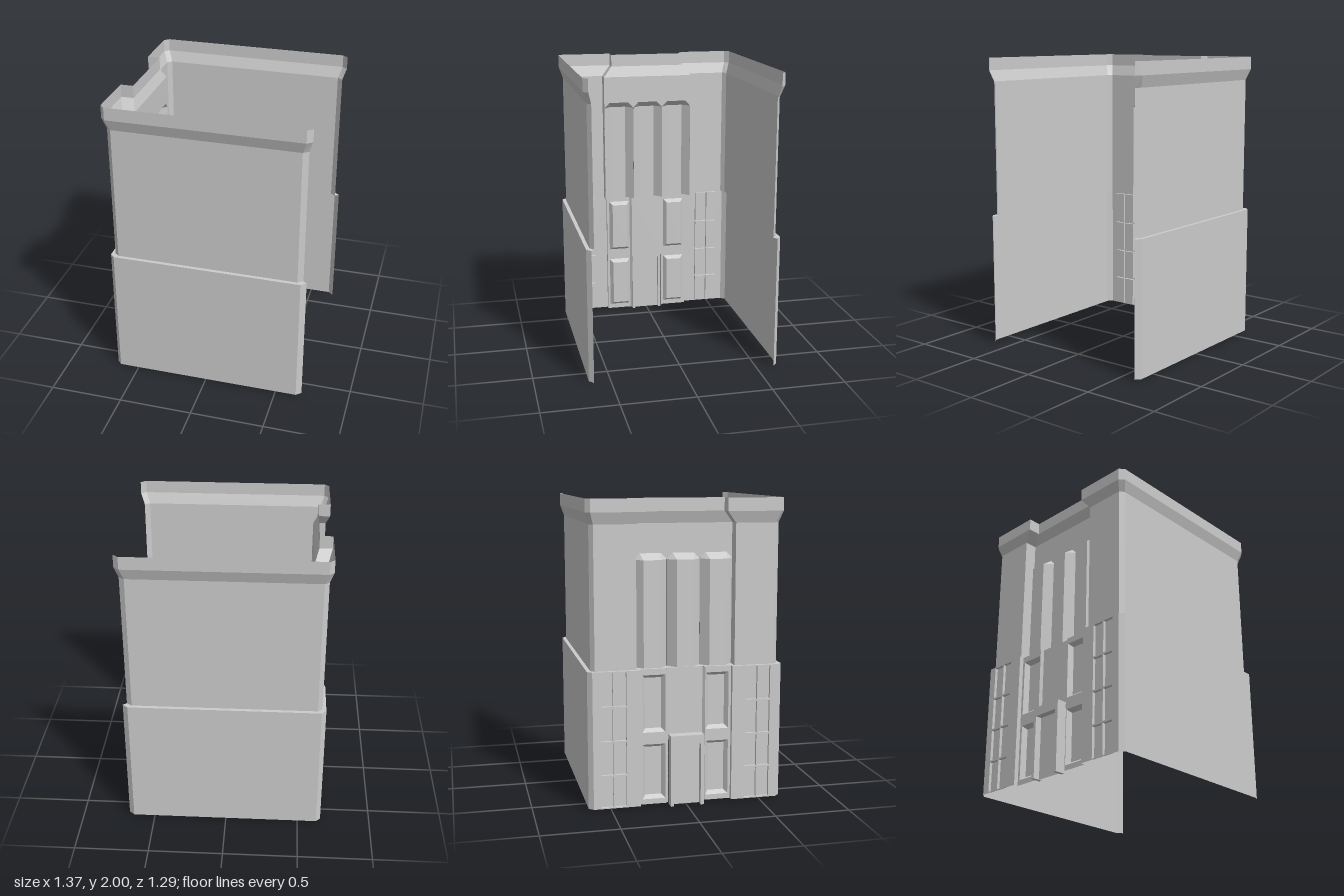
import * as THREE from 'three';

const mat = new THREE.MeshStandardMaterial({ color: 0xcccccc, flatShading: true, side: THREE.DoubleSide });

export function createModel() {
  const model = new THREE.Group();
  const add = (name, geometry) => {
    const mesh = new THREE.Mesh(geometry, mat);
    mesh.name = name;
    model.add(mesh);
    return mesh;
  };
  // polygons given as lists of [x, y, z] corners, fan triangulated
  const polys = (list) => {
    const pos = [];
    for (const p of list)
      for (let i = 1; i < p.length - 1; i++) pos.push(...p[0], ...p[i], ...p[i + 1]);
    const g = new THREE.BufferGeometry();
    g.setAttribute('position', new THREE.Float32BufferAttribute(pos, 3));
    g.computeVertexNormals();
    return g;
  };
  const toShape = (pts) => new THREE.Shape(pts.map(([a, b]) => new THREE.Vector2(a, b)));
  // flat panel of [z, y] points facing -x
  const panel = (x, pts, holes = []) => {
    const s = toShape(pts);
    s.holes = holes.map(toShape);
    return new THREE.ShapeGeometry(s).rotateY(-Math.PI / 2).translate(x, 0, 0);
  };
  const rect = (z0, z1, y0, y1) => [[z0, y0], [z1, y0], [z1, y1], [z0, y1]];
  // recessed pane: outer rectangle on the wall, inner one pushed inwards
  const inset = (x, outer, depth, bevel) => {
    const sz = [1, -1, -1, 1], sy = [1, 1, -1, -1];
    const o = outer.map(([z, y]) => [x, y, z]);
    const n = outer.map(([z, y], i) => [x + depth, y + sy[i] * bevel, z + sz[i] * bevel]);
    const faces = o.map((p, i) => [p, o[(i + 1) % 4], n[(i + 1) % 4], n[i]]);
    return polys([...faces, n]);
  };
  const mirrorPath = (h) => [...h, ...h.slice().reverse().map(([x, z]) => [x, -z])];

  // plan outlines: outer (base and cornice) and set back (upper walls)
  const base = mirrorPath([[0.68, 0.615], [0.645, 0.645], [-0.63, 0.645], [-0.66, 0.615], [-0.66, 0.305], [-0.63, 0.305]]);
  const cornice = mirrorPath([[0.68, 0.615], [0.645, 0.645], [-0.63, 0.645], [-0.66, 0.615], [-0.66, 0.265], [-0.575, 0.265]]);
  const upper = mirrorPath([[0.655, 0.595], [0.62, 0.62], [-0.605, 0.62], [-0.635, 0.595], [-0.635, 0.325], [-0.55, 0.325]]);

  const loft = (rows, skip = []) => {
    const list = [];
    for (let r = 0; r < rows.length - 1; r++) {
      const [a, ya] = rows[r], [b, yb] = rows[r + 1];
      for (let i = 0; i < a.length - 1; i++) {
        if (skip.includes(i)) continue;
        list.push([[a[i + 1][0], ya, a[i + 1][1]], [a[i][0], ya, a[i][1]],
          [b[i][0], yb, b[i][1]], [b[i + 1][0], yb, b[i + 1][1]]]);
      }
    }
    return polys(list);
  };
  const BOTTOM = 0.01, LEDGE = 0.915;
  add('lowerWalls', loft([[base, BOTTOM], [base, LEDGE]], [3, 5, 7]));
  add('ledge', loft([[base, LEDGE], [upper, LEDGE]], [4, 5, 6]));
  add('upperWalls', loft([[upper, LEDGE], [upper, 1.84]], [5]));
  add('cornice', loft([[upper, 1.84], [cornice, 1.915], [cornice, 2]]));

  // three projecting bays with sloped heads, and the wall above them
  const W = -0.55, F = -0.607, headY = 1.61, topY = 1.65;
  const wallEdge = [[-0.325, 1.84], [-0.325, headY]];
  const bayPlan = [];
  for (const c of [-0.2175, 0, 0.2175]) {
    const o = 0.1085, f = 0.055, t = 0.07;
    const at = (x, y, dz) => [x, y, c + dz];
    wallEdge.push([c - t, topY], [c + t, topY], [c + o, headY]);
    bayPlan.push([W, c - o], [F, c - f], [F, c + f], [W, c + o]);
    const faces = [
      [at(F, LEDGE, -f), at(F, LEDGE, f), at(F, headY, f), at(F, headY, -f)],
      [at(W, LEDGE, -o), at(F, LEDGE, -f), at(F, headY, -f), at(W, headY, -o)],
      [at(F, LEDGE, f), at(W, LEDGE, o), at(W, headY, o), at(F, headY, f)],
      [at(F, headY, -f), at(F, headY, f), at(W, topY, t), at(W, topY, -t)],
      [at(W, headY, -o), at(F, headY, -f), at(W, topY, -t)],
      [at(F, headY, f), at(W, headY, o), at(W, topY, t)],
    ];
    add('bay', polys(faces));
  }
  wallEdge.push([0.325, 1.84]);
  add('recessWall', panel(W, wallEdge));

  // ledge at the foot of the bays
  const M = -0.63, C = -0.614;
  const front = [[-0.635, 0.325], [-0.66, 0.305], [M, 0.305], [M, 0.135], [C, 0.115]];
  const ledge = [...mirrorPath(front), ...bayPlan];
  add('bayLedge', new THREE.ShapeGeometry(toShape(ledge)).rotateX(-Math.PI / 2).translate(0, LEDGE, 0));

  // lower facade on both sides of the door
  for (const s of [1, -1]) {
    const side = (a, b, y0, y1) => rect(Math.min(s * a, s * b), Math.max(s * a, s * b), y0, y1);
    const panes = [];
    for (const [y0, y1] of [[0.018, 0.222], [0.234, 0.447], [0.459, 0.675], [0.687, 0.907]])
      for (const z of [0.397, 0.485]) panes.push(side(z, z + 0.078, y0, y1));
    add('gridWindowWall', panel(-0.66, side(0.305, 0.615, BOTTOM, LEDGE), panes));
    for (const p of panes) add('gridPane', inset(-0.66, p, 0.02, 0));

    const windows = [side(0.135, 0.288, 0.045, 0.415), side(0.135, 0.288, 0.495, 0.875)];
    add('windowWall', panel(M, side(0.13, 0.305, BOTTOM, LEDGE), windows));
    for (const w of windows) add('window', inset(M, w, 0.03, 0.022));
    add('wallStep', polys([[[M, BOTTOM, s * 0.13], [C, BOTTOM, s * 0.115], [C, LEDGE, s * 0.115], [M, LEDGE, s * 0.13]]]));
  }
  add('centreWall', panel(C, [[-0.115, 0.435], [0, 0.455], [0.115, 0.435], [0.115, LEDGE], [-0.115, LEDGE]]));

  // door surround and door
  const surround = toShape([[-0.112, 0], [-0.09, 0], [-0.09, 0.415], [0.09, 0.415], [0.09, 0],
    [0.112, 0], [0.112, 0.475], [-0.112, 0.475]]);
  add('doorSurround', new THREE.ExtrudeGeometry(surround, { depth: 0.069, bevelEnabled: false })
    .rotateY(-Math.PI / 2).translate(-0.616, 0, 0));
  add('door', panel(-0.64, rect(-0.09, 0.09, 0, 0.415)));
  return model;
}
